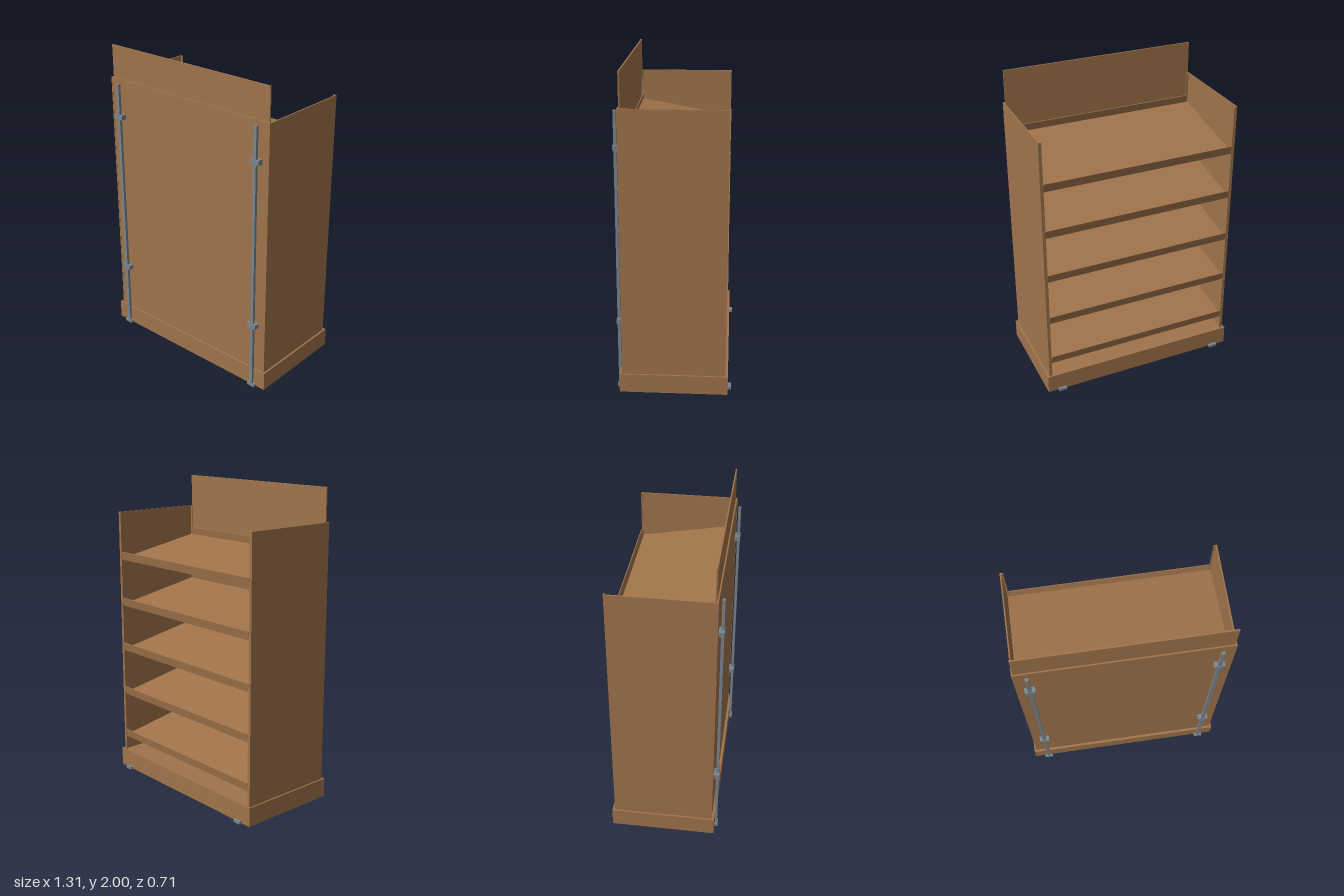
import * as THREE from 'three';

export function createModel() {
  const model = new THREE.Group();
  model.name = 'displayRack';
  const wood = new THREE.MeshStandardMaterial({ name: 'brown panel', color: 0xa0744b });
  const steel = new THREE.MeshStandardMaterial({ name: 'grey steel', color: 0x7b848d });

  // Box given by its limits on each axis
  function box(name, material, [x0, x1], [y0, y1], [z0, z1], parent = model) {
    const mesh = new THREE.Mesh(new THREE.BoxGeometry(x1 - x0, y1 - y0, z1 - z0), material);
    mesh.name = name;
    mesh.position.set((x0 + x1) / 2, (y0 + y1) / 2, (z0 + z1) / 2);
    parent.add(mesh);
    return mesh;
  }
  // Interval on the left (+1) or the right (-1) of the model
  const mirror = (s, a, b) => (s > 0 ? [a, b] : [-b, -a]);

  // Open-bottomed plinth with a floor and a middle divider
  const base = new THREE.Group();
  base.name = 'base';
  model.add(base);
  const baseY = [0.003, 0.125];
  box('baseFront', wood, [-0.655, 0.655], baseY, [0.327, 0.335], base);
  box('baseBack', wood, [-0.655, 0.655], baseY, [-0.335, -0.327], base);
  for (const s of [1, -1]) {
    box('baseSide', wood, mirror(s, 0.647, 0.655), baseY, [-0.327, 0.327], base);
  }
  box('baseFloor', wood, [-0.647, 0.647], [0.113, 0.122], [-0.327, 0.327], base);
  box('baseDivider', wood, [-0.006, 0.006], [0.003, 0.113], [-0.327, 0.327], base);

  // Closed front panel and the header board above it
  box('frontPanel', wood, [-0.632, 0.632], [0.122, 1.79], [0.309, 0.318]);
  box('header', wood, [-0.629, 0.629], [1.74, 2.0], [0.3, 0.309]);

  for (const s of [1, -1]) {
    // Side panel with inward flanges along its upright edges
    box('sidePanel', wood, mirror(s, 0.632, 0.64), [0.122, 1.79], [-0.32, 0.32]);
    box('sideBackFlange', wood, mirror(s, 0.62, 0.632), [0.122, 1.79], [-0.32, -0.313]);
    box('sideFrontFlange', wood, mirror(s, 0.618, 0.632), [0.122, 1.789], [0.294, 0.3]);

    // Floor runner, upright pole and its brackets
    box('runner', steel, mirror(s, 0.532, 0.587), [0, 0.018], [-0.354, 0.354]);
    box('pole', steel, mirror(s, 0.547, 0.569), [0.018, 1.765], [0.332, 0.35]);
    for (const y of [0.45, 1.547]) {
      box('poleBracket', steel, mirror(s, 0.525, 0.59), [y - 0.016, y + 0.016], [0.318, 0.353]);
    }
  }

  // Five trays sloping down to the open back, each with raised lips
  const length = 0.624, lip = 0.055, t = 0.006;
  for (let i = 0; i < 5; i++) {
    const shelf = new THREE.Group();
    shelf.name = 'slopedShelf';
    shelf.position.set(0, 0.218 + i * 0.3135, -0.314);
    shelf.rotation.x = -0.18;
    box('shelfTray', wood, [-0.63, 0.63], [0, t], [0, length], shelf);
    box('shelfBackLip', wood, [-0.62, 0.62], [0, lip], [0, t], shelf);
    box('shelfFrontLip', wood, [-0.62, 0.62], [0, lip], [length - t, length], shelf);
    model.add(shelf);
  }
  return model;
}
